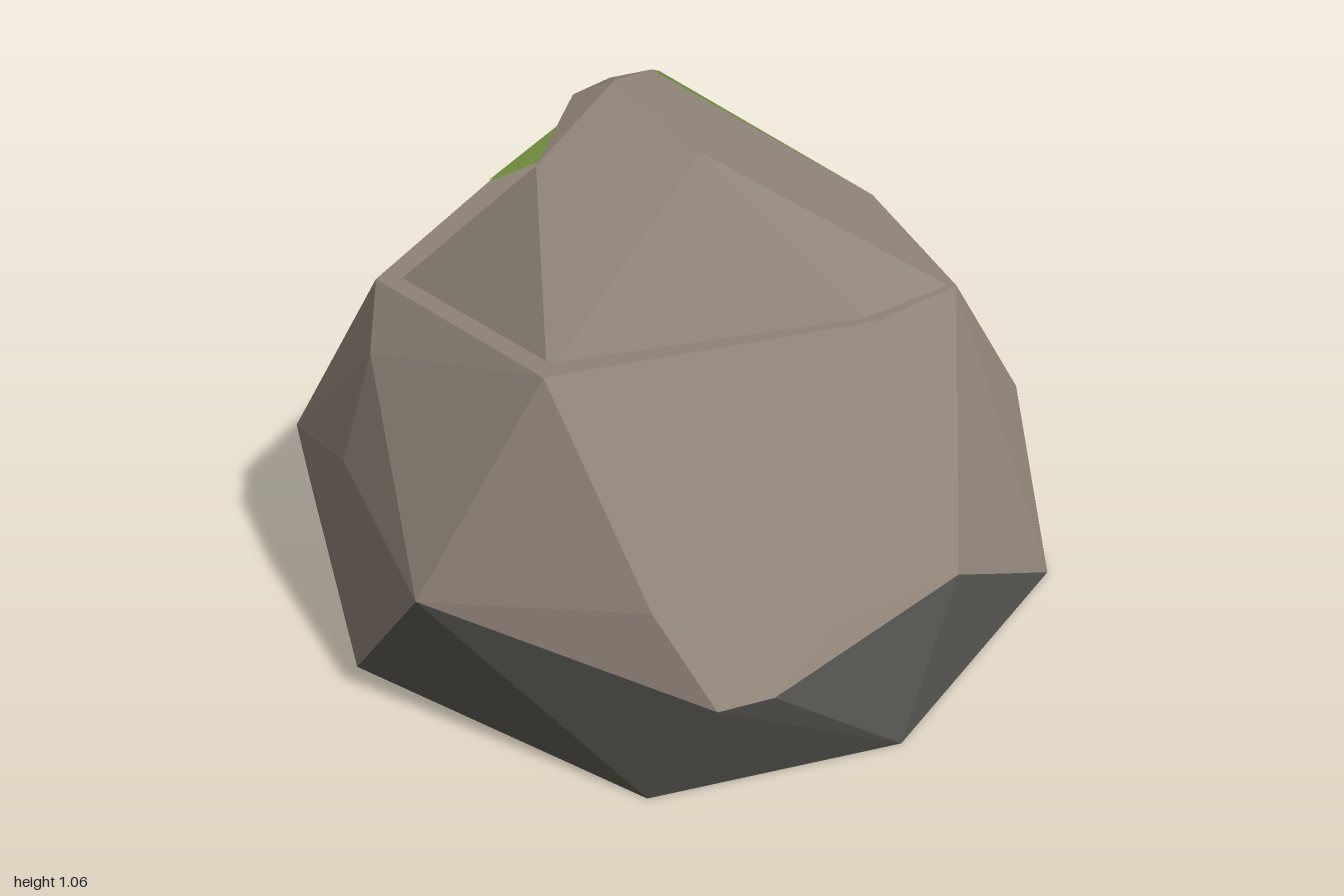
import * as THREE from 'three';
import { ConvexGeometry } from 'three/addons/geometries/ConvexGeometry.js';

const material = (name, color) => {
  const m = new THREE.MeshStandardMaterial({ color });
  m.name = name;
  return m;
};

export function createModel() {
  const stone = material('stone', 0x8f8377);
  const dampStone = material('dampStone', 0x5b5954);
  const moss = material('moss', 0x6e8a3b);
  const palette = [stone, dampStone, moss];
  const rock = new THREE.Group();
  rock.name = 'mossyRock';

  // Faceted chunk: triangles inside a moss patch turn green, undercut ones near the ground dark
  function chunk(name, points, patches = []) {
    const geometry = new ConvexGeometry(points.map(p => new THREE.Vector3(...p)));
    const pos = geometry.attributes.position;
    const tri = new THREE.Triangle();
    const normal = new THREE.Vector3(), mid = new THREE.Vector3();
    for (let i = 0; i < pos.count; i += 3) {
      tri.setFromAttributeAndIndices(pos, i, i + 1, i + 2);
      tri.getNormal(normal);
      tri.getMidpoint(mid);
      const inPatch = patch => [tri.a, tri.b, tri.c].every(v =>
        patch.some(p => v.distanceTo(new THREE.Vector3(...p)) < 0.005));
      const nearGround = mid.y < 0.15 || (normal.y < 0.1 && mid.y < 0.3);
      let index = 0;
      if (nearGround && normal.y > -0.9) index = 1;
      if (patches.some(inPatch)) index = 2;
      geometry.addGroup(i, 3, index);
    }
    const mesh = new THREE.Mesh(geometry, palette);
    mesh.name = name;
    rock.add(mesh);
  }

  // Corners shared by the stone and its moss patches
  const sideTop = [0.57, 0.69, -0.02], sideBack = [0.41, 0.71, -0.56], sideLow = [0.70, 0.41, -0.45];
  const backLow = [0.09, 0.41, -0.93], backShoulder = [0.37, 0.67, -0.75];
  const ledgeEnd = [0.14, 0.72, -0.74], ledgeMid = [-0.22, 0.72, -0.42], ledgeInner = [0.28, 0.72, -0.62];

  // Lower body: ground outline, widest belt, shoulders and ledge rim
  const ground = [
    [0.81, 0.27], [0.67, 0.61], [0.06, 0.95], [-0.45, 0.87], [-0.81, 0.25],
    [-0.68, -0.52], [-0.5, -0.71], [-0.27, -0.91], [0.28, -0.93], [0.79, -0.45],
  ].map(([x, z]) => [x, 0, z]);
  const belt = [
    [0.75, 0.32, 0.34], [0.2, 0.32, 0.9], [-0.1, 0.32, 0.94], [-0.26, 0.26, 1], [-0.37, 0.26, 0.99],
    [-0.76, 0.32, 0.52], [-0.77, 0.32, -0.22], [0, 0.21, -1], [0.45, 0.2, -0.87],
    [0.72, 0.09, -0.56], [0.78, 0.32, -0.4], [0.79, 0.32, -0.23],
  ];
  const shoulders = [
    [0.06, 0.46, 0.81], [-0.43, 0.4, 0.85], [0.24, 0.4, 0.82], [-0.76, 0.4, 0.1],
    [-0.68, 0.62, 0.08], [0.77, 0.4, -0.1],
  ];
  const rim = [
    [0.2, 0.72, 0.58], [0.44, 0.71, 0.5], [-0.48, 0.72, 0.5], [-0.62, 0.72, -0.04],
    sideTop, sideBack, sideLow, backLow, backShoulder, ledgeEnd, ledgeMid, ledgeInner,
  ];
  chunk('lowerBody', [...ground, ...belt, ...shoulders, ...rim], [
    [sideTop, sideBack, sideLow],
    [sideBack, backShoulder, backLow, ledgeEnd, ledgeMid, ledgeInner],
  ]);

  // Upper body, cut off by an upright wall above the ledge
  const cornerTop = [-0.32, 0.97, 0.11], cornerFoot = [-0.32, 0.7, 0.11], frontFoot = [-0.46, 0.7, 0.47];
  const capMoss = [
    [0.06, 0.95, -0.352], [0.17, 0.95, -0.36], [0.22, 0.92, -0.42],
    sideTop, sideBack, ledgeInner,
  ];
  chunk('upperBody', [
    ...capMoss, cornerTop, cornerFoot, frontFoot,
    [0.28, 0.69, -0.62], [0.2, 0.7, 0.58], [0.44, 0.7, 0.5],
    [-0.14, 1.02, -0.109], [-0.07, 1.06, -0.05], [-0.03, 1, 0.26],
  ], [capMoss]);

  // Wedge closing the short end of the ledge
  chunk('ledgeEndWedge', [cornerTop, cornerFoot, frontFoot, [-0.59, 0.7, -0.03]]);

  // Thin moss patch lying on the ledge
  const patch = new THREE.Shape([ledgeMid, ledgeEnd, ledgeInner].map(p => new THREE.Vector2(p[0], -p[2])));
  const ledgeMoss = new THREE.Mesh(new THREE.ShapeGeometry(patch).rotateX(-Math.PI / 2), moss);
  ledgeMoss.position.y = 0.724;
  ledgeMoss.name = 'ledgeMoss';
  rock.add(ledgeMoss);

  return rock;
}
